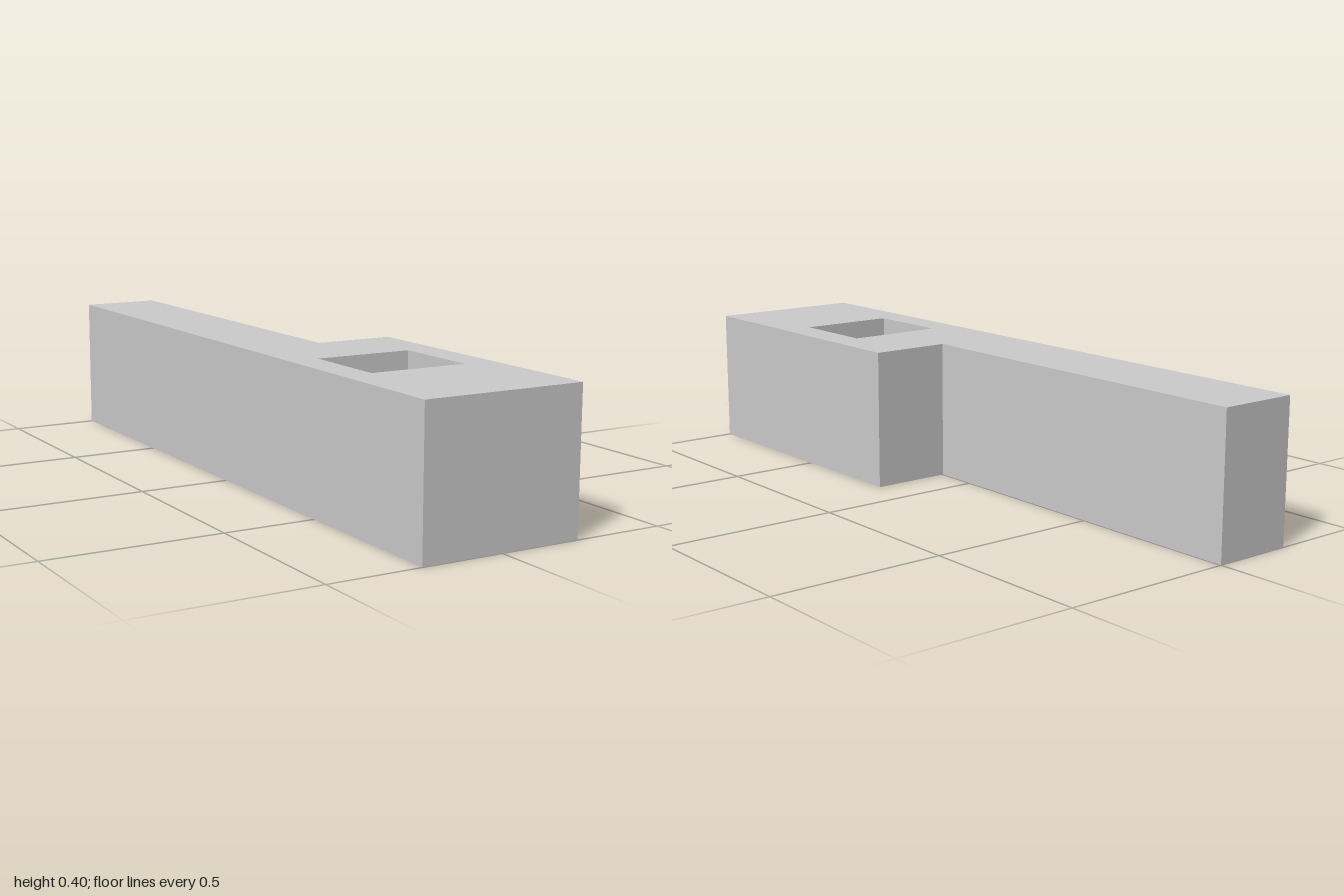
import * as THREE from 'three';

// Closed outline from [x, z] points; z is negated so the extrusion can be laid flat
const outline = (points, Type) =>
  new Type(points.map(([x, z]) => new THREE.Vector2(x, -z)));

export function createModel() {
  const group = new THREE.Group();
  group.name = 'slottedBar';

  const height = 0.402;

  // Plan of the bar: wide head at the front, narrow arm to the back
  const plan = outline([
    [-0.235, 1], [0.235, 1], [0.235, 0.13],
    [0, 0.13], [0, -1], [-0.235, -1],
  ], THREE.Shape);

  // Rectangular hole through the head
  plan.holes.push(outline([
    [-0.146, 0.37], [0.144, 0.37], [0.144, 0.634], [-0.146, 0.634],
  ], THREE.Path));

  const geometry = new THREE.ExtrudeGeometry(plan, { depth: height, bevelEnabled: false });
  geometry.rotateX(-Math.PI / 2);

  const bar = new THREE.Mesh(
    geometry,
    new THREE.MeshStandardMaterial({ color: 0xcccccc, flatShading: true }),
  );
  bar.name = 'barWithHead';
  group.add(bar);
  return group;
}
